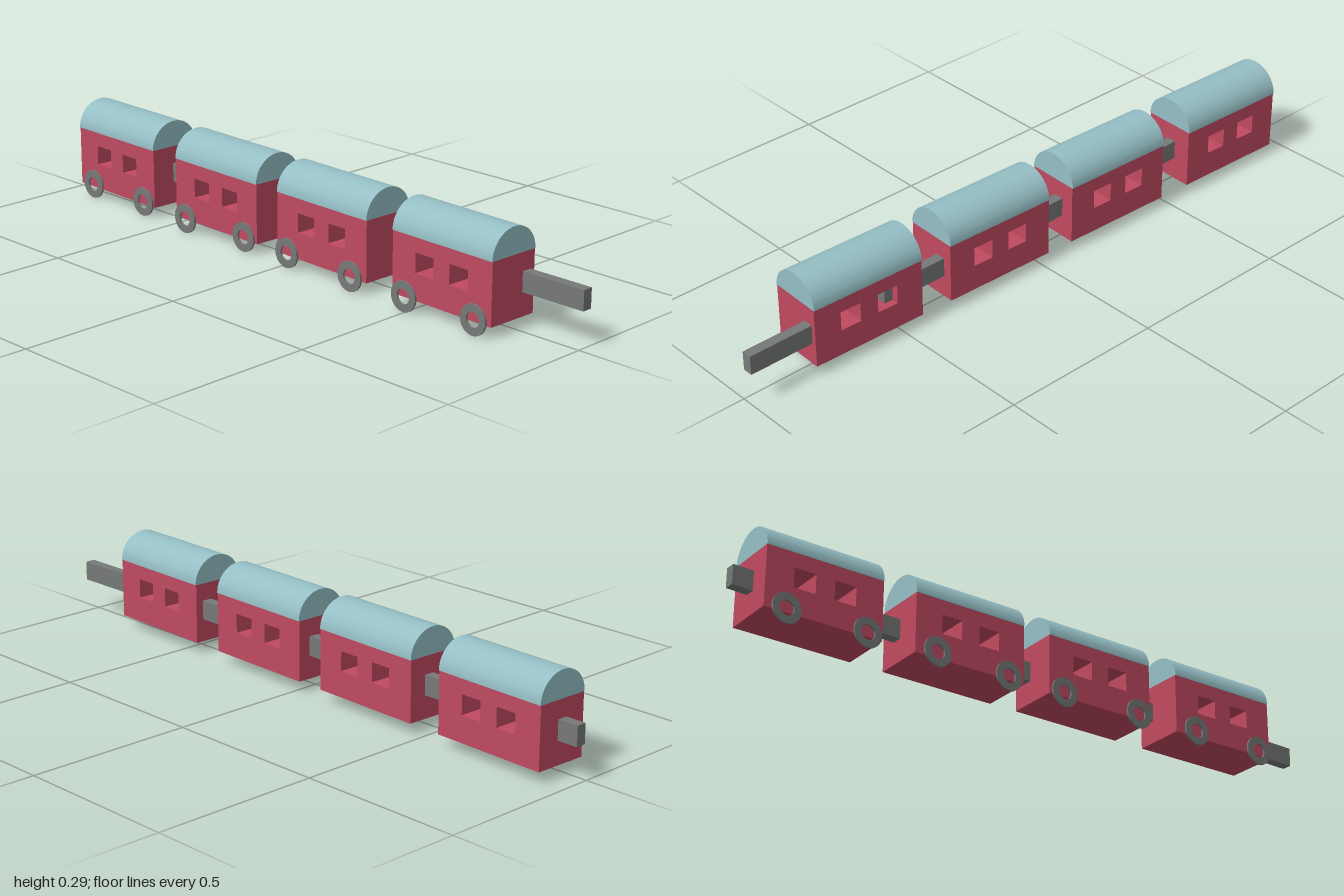
import * as THREE from 'three';
import { toCreasedNormals } from 'three/addons/utils/BufferGeometryUtils.js';

const LENGTH = 0.36, HALF = 0.081, SLOPE = 0.031;
const red = new THREE.MeshStandardMaterial({ color: 0xc04a60 });
const blue = new THREE.MeshStandardMaterial({ color: 0x95bfc5 });
const grey = new THREE.MeshStandardMaterial({ color: 0x777979 });

function mesh(name, geometry, material) {
  const m = new THREE.Mesh(geometry, material);
  m.name = name;
  return m;
}

function rectangle(Type, x0, x1, y0, y1) {
  return new Type([[x0, y0], [x1, y0], [x1, y1], [x0, y1]].map(p => new THREE.Vector2(...p)));
}

// Solid side profile with two square windows passing straight through
function bodyGeometry() {
  const shape = rectangle(THREE.Shape, -LENGTH / 2, LENGTH / 2, 0.034, 0.214);
  for (const x of [-0.062, 0.062]) {
    shape.holes.push(rectangle(THREE.Path, x - 0.033, x + 0.033, 0.112, 0.17));
  }
  return new THREE.ExtrudeGeometry(shape, { depth: 2 * HALF, bevelEnabled: false })
    .translate(0, 0, -HALF);
}

// Half-round roof running along the carriage
function roofGeometry() {
  const shape = new THREE.Shape();
  shape.absellipse(0, 0, 0.083, 0.079, 0, Math.PI, false, 0);
  shape.closePath();
  const g = new THREE.ExtrudeGeometry(shape, { depth: LENGTH, bevelEnabled: false, curveSegments: 24 })
    .translate(0, 0.214, -LENGTH / 2)
    .rotateY(Math.PI / 2);
  return toCreasedNormals(g, 0.5);
}

// Thin flat ring
function wheelGeometry() {
  const shape = new THREE.Shape();
  shape.absarc(0, 0, 0.044, 0, Math.PI * 2, false);
  const hole = new THREE.Path();
  hole.absarc(0, 0, 0.022, 0, Math.PI * 2, true);
  shape.holes.push(hole);
  const g = new THREE.ExtrudeGeometry(shape, { depth: 0.006, bevelEnabled: false, curveSegments: 16 })
    .translate(0, 0, -0.003);
  return toCreasedNormals(g, 0.5);
}

export function createModel() {
  const train = new THREE.Group();
  train.name = 'carriageTrain';
  const body = bodyGeometry(), roof = roofGeometry(), wheel = wheelGeometry();

  // Carriages in a slightly slanted row; wheels as [x, z] on the front side only
  const carriages = [
    { x: -0.757, wheels: [[-0.874, 0.057], [-0.628, 0.066]] },
    { x: -0.292, wheels: [[-0.414, 0.085], [-0.168, 0.079]] },
    { x: 0.157, wheels: [[0.021, 0.089], [0.283, 0.103]] },
    { x: 0.617, wheels: [[0.495, 0.114], [0.741, 0.114]] },
  ];
  carriages.forEach(({ x, wheels }, i) => {
    const carriage = new THREE.Group();
    carriage.name = `carriage${i + 1}`;
    carriage.add(mesh('body', body, red), mesh('roof', roof, blue));
    carriage.position.set(x, 0, 0.024 + SLOPE * (x - 0.797));
    carriage.rotation.y = -SLOPE;
    train.add(carriage);
    for (const [wx, wz] of wheels) {
      const w = mesh('wheel', wheel, grey);
      w.position.set(wx, 0.0445, wz);
      train.add(w);
    }
  });

  // Coupling bars between the carriages and at both ends
  const bars = [[-1, -0.87], [-0.64, -0.4], [-0.18, 0.04], [0.27, 0.552], [0.716, 1]];
  for (const [a, b] of bars) {
    const bar = mesh('couplingBar', new THREE.BoxGeometry(b - a, 0.058, 0.031), grey);
    bar.position.set((a + b) / 2, 0.132, -0.028);
    train.add(bar);
  }
  return train;
}
